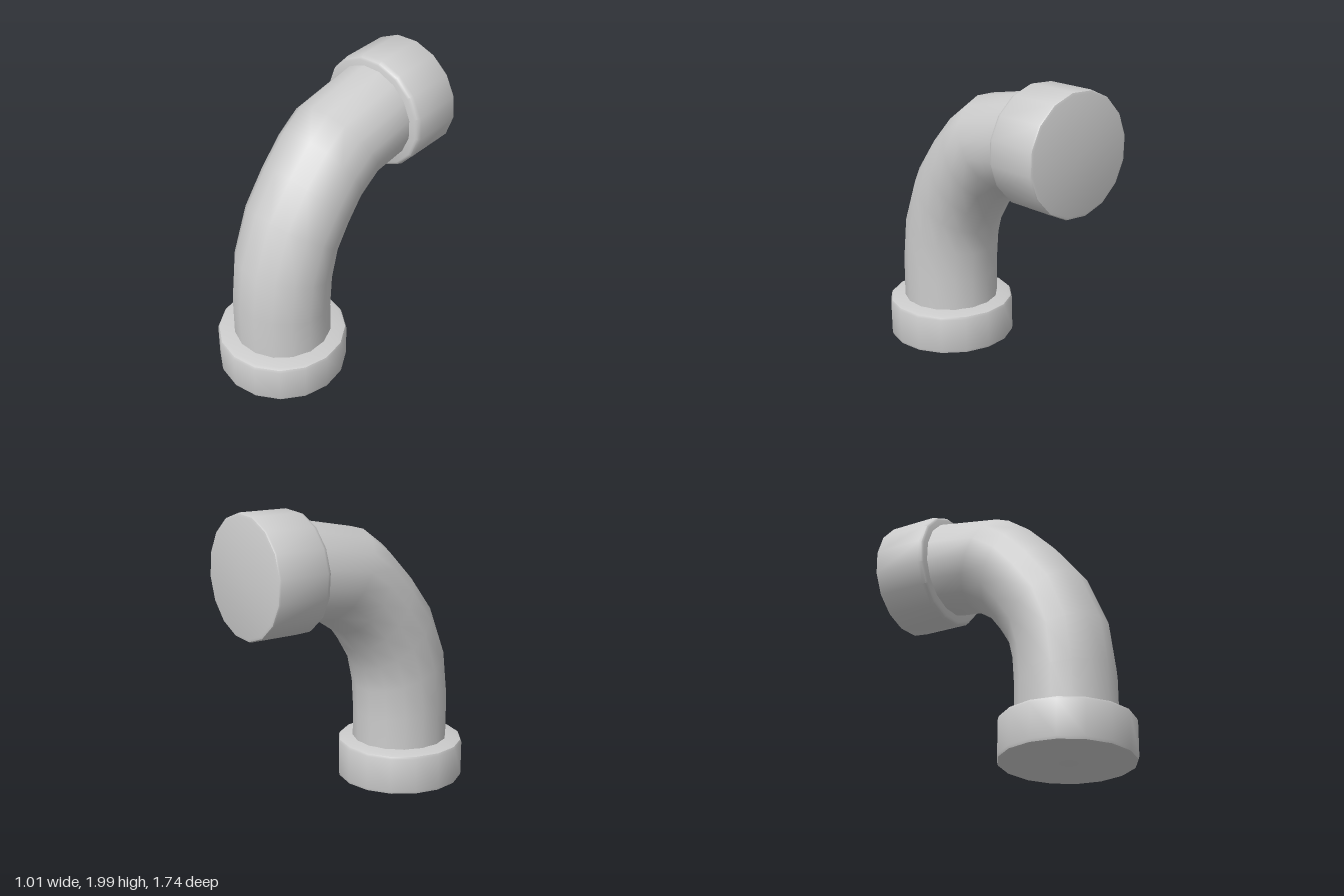
import * as THREE from 'three';
import { toCreasedNormals } from 'three/addons/utils/BufferGeometryUtils.js';

const SIDES = 16;
const STEP = (Math.PI * 2) / SIDES;
const SLANT = 0.147; // sideways drift of the bend, x per unit of -z
const material = new THREE.MeshStandardMaterial({ color: 0xcccccc });

// Turned collar from a [radius, height] profile, running bottom to top
function collar(name, profile, phase) {
  const points = profile.map(([r, y]) => new THREE.Vector2(r, y));
  const geometry = toCreasedNormals(new THREE.LatheGeometry(points, SIDES, phase), 0.6);
  const mesh = new THREE.Mesh(geometry, material);
  mesh.name = name;
  return mesh;
}

// Bent pipe: each ring spans an outer and an inner point of the bend, [z, y, z, y]
function bentPipe() {
  const rings = [
    [0.76, 0.2, 0.115, 0.2],
    [0.76, 0.59, 0.12, 0.5],
    [0.72, 0.92, 0.11, 0.7],
    [0.58, 1.27, 0.08, 0.86],
    [0.40, 1.51, 0.0, 1.0],
    [0.22, 1.70, -0.10, 1.14],
    [0.06, 1.82, -0.26, 1.25],
    [-0.43, 1.925, -0.45, 1.27],
  ];
  const grow = 1 / Math.cos(STEP / 2); // flats, not corners, lie on the bend points
  const side = new THREE.Vector3(1, 0, SLANT).setLength(0.324 * grow);
  const positions = [];
  const index = [];
  rings.forEach(([zo, yo, zi, yi], i) => {
    const z = (zo + zi) / 2;
    const dz = ((zo - zi) / 2) * grow;
    const centre = new THREE.Vector3(-0.072 + (0.44 - z) * SLANT, (yo + yi) / 2, z);
    const out = new THREE.Vector3(-SLANT * dz, ((yo - yi) / 2) * grow, dz);
    for (let j = 0; j < SIDES; j++) {
      const a = (j + 0.5) * STEP;
      const p = centre.clone().addScaledVector(out, Math.cos(a)).addScaledVector(side, Math.sin(a));
      positions.push(p.x, p.y, p.z);
      if (i === 0) continue;
      const k = (j + 1) % SIDES;
      const lo = (i - 1) * SIDES;
      const hi = i * SIDES;
      index.push(lo + j, lo + k, hi + j, lo + k, hi + k, hi + j);
    }
  });
  const geometry = new THREE.BufferGeometry();
  geometry.setAttribute('position', new THREE.Float32BufferAttribute(positions, 3));
  geometry.setIndex(index);
  geometry.computeVertexNormals();
  const mesh = new THREE.Mesh(geometry, material);
  mesh.name = 'bentPipe';
  return mesh;
}

export function createModel() {
  const model = new THREE.Group();
  model.name = 'pipeElbow';
  model.add(bentPipe());

  // Base collar, slightly tilted, with a shallow conical top
  const base = collar('baseCollar', [
    [0, 0], [0.42, 0], [0.435, 0.007], [0.44, 0.025],
    [0.44, 0.255], [0.432, 0.272], [0.41, 0.28], [0.3, 0.292],
  ], STEP / 2);
  base.position.set(-0.077, 0.01, 0.437);
  base.rotation.set(0.014, 0, -0.01);
  model.add(base);

  // Upper collar around the rear end of the pipe
  const end = collar('endCollar', [
    [0.2, 0], [0.375, 0], [0.39, 0.01], [0.4, 0.035],
    [0.4, 0.375], [0.395, 0.385], [0.38, 0.39], [0, 0.39],
  ], 0);
  const axis = new THREE.Vector3(SLANT, 0.025, -1).normalize();
  end.quaternion.setFromUnitVectors(new THREE.Vector3(0, 1, 0), axis);
  end.position.set(0.058, 1.592, -0.43);
  model.add(end);

  return model;
}
